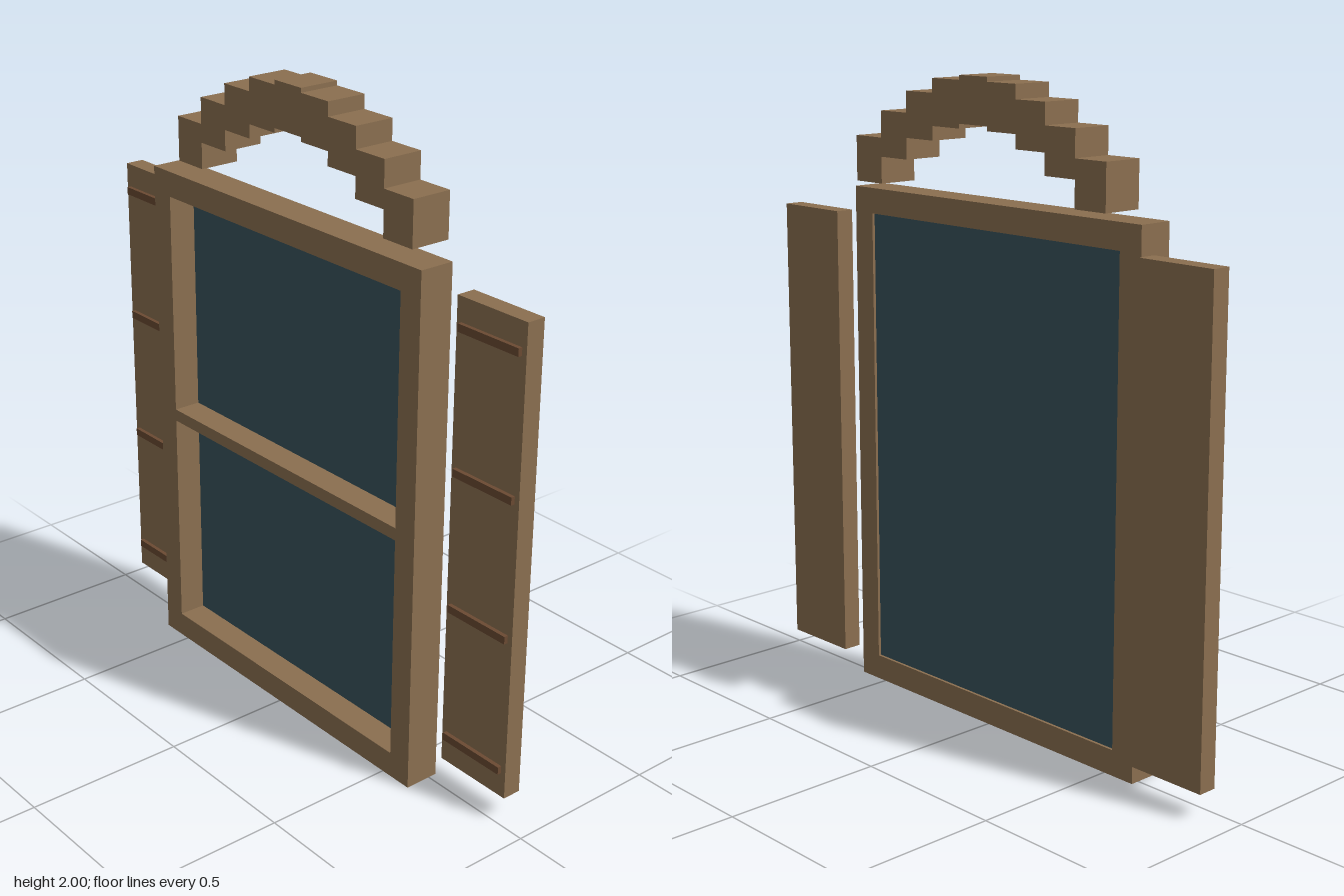
import * as THREE from 'three';

const wood = new THREE.MeshStandardMaterial({ color: 0x8b6f50 });
const darkWood = new THREE.MeshStandardMaterial({ color: 0x6b4a32 });
const glass = new THREE.MeshStandardMaterial({ color: 0x39545c });

// Box given by its minimum and maximum corners
function box(name, material, [x0, y0, z0], [x1, y1, z1]) {
  const mesh = new THREE.Mesh(new THREE.BoxGeometry(x1 - x0, y1 - y0, z1 - z0), material);
  mesh.position.set((x0 + x1) / 2, (y0 + y1) / 2, (z0 + z1) / 2);
  mesh.name = name;
  return mesh;
}

function rectangle(PathType, x, y0, y1) {
  const path = new PathType();
  path.moveTo(-x, y0);
  path.lineTo(x, y0);
  path.lineTo(x, y1);
  path.lineTo(-x, y1);
  path.closePath();
  return path;
}

// Window: outer frame, glazing and crossbar
function createWindow() {
  const group = new THREE.Group();
  group.name = 'window';
  const outline = rectangle(THREE.Shape, 0.612, 0, 1.628);
  outline.holes.push(rectangle(THREE.Path, 0.532, 0.08, 1.548));
  const frame = new THREE.Mesh(
    new THREE.ExtrudeGeometry(outline, { depth: 0.112, bevelEnabled: false }), wood);
  frame.position.z = -0.027;
  frame.name = 'windowFrame';
  group.add(
    frame,
    box('glassPane', glass, [-0.532, 0.08, -0.018], [0.532, 1.548, -0.004]),
    box('crossbar', wood, [-0.532, 0.795, -0.004], [0.532, 0.834, 0.085]),
  );
  return group;
}

// Shutter: plank with four thin slats on its front
function createShutter(name, side) {
  const group = new THREE.Group();
  group.name = name;
  group.position.x = side * 0.78;
  group.add(box('shutterPanel', wood, [-0.132, 0.082, -0.075], [0.132, 1.548, -0.015]));
  for (let i = 0; i < 4; i++) {
    const y = 0.172 + i * 0.43;
    group.add(box('shutterSlat', darkWood,
      [-0.115, y - 0.012, -0.015], [0.115, y + 0.012, -0.002]));
  }
  return group;
}

// Stepped arch of nine blocks, rising towards the middle
function createArch() {
  const group = new THREE.Group();
  group.name = 'arch';
  const tops = [2, 1.986, 1.943, 1.878, 1.796];
  const width = 0.1182;
  for (let i = -4; i <= 4; i++) {
    const x = i * width, top = tops[Math.abs(i)];
    group.add(box('archBlock', wood,
      [x - width / 2, top - 0.14, -0.085], [x + width / 2, top, 0.046]));
  }
  return group;
}

export function createModel() {
  const model = new THREE.Group();
  model.name = 'archedWindow';
  model.add(
    createWindow(),
    createShutter('leftShutter', 1),
    createShutter('rightShutter', -1),
    createArch(),
  );
  return model;
}
